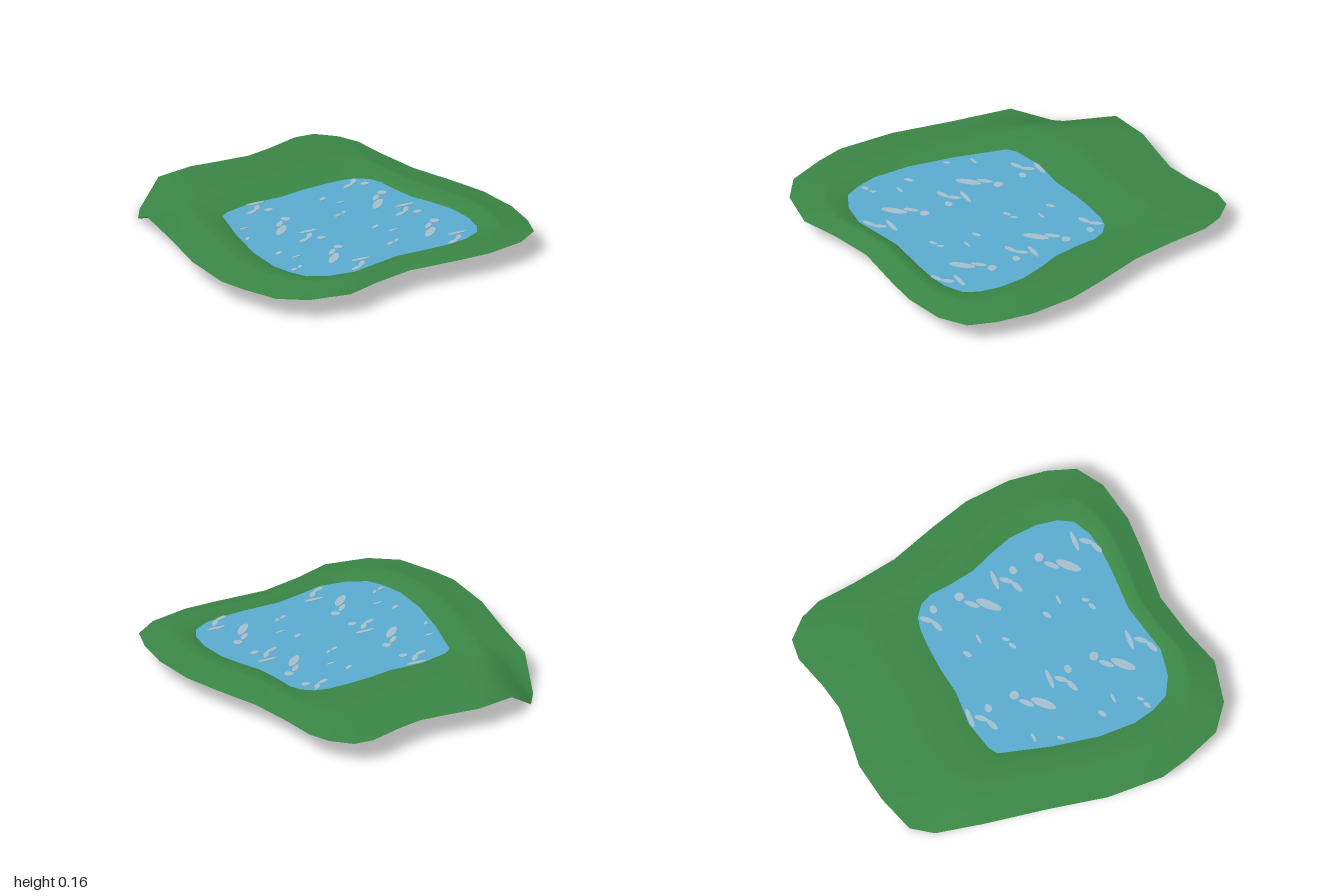
import * as THREE from 'three';

// Shore outlines as [x, z], clockwise from the back right-hand corner
const OUTER = [
  [-0.745, -0.545], [-0.63, -0.79], [-0.54, -0.9], [-0.36, -0.975], [-0.13, -0.995], [0.03, -0.965],
  [0.215, -0.935], [0.37, -0.955], [0.57, -1], [0.685, -0.98], [0.775, -0.87], [0.815, -0.75],
  [0.82, -0.53], [0.84, -0.27], [0.91, 0.01], [0.955, 0.23], [0.955, 0.49], [0.91, 0.7],
  [0.845, 0.85], [0.695, 0.935], [0.46, 0.965], [0.28, 0.95], [-0.03, 0.91], [-0.27, 0.945],
  [-0.49, 1], [-0.725, 0.935], [-0.86, 0.815], [-0.925, 0.6], [-0.955, 0.44], [-0.92, 0.12], [-0.83, -0.2],
];
const INNER = [
  [-0.44, -0.24], [-0.42, -0.295], [-0.37, -0.325], [-0.28, -0.34], [-0.2, -0.355], [0, -0.333],
  [0.15, -0.345], [0.3, -0.345], [0.41, -0.335], [0.48, -0.315], [0.54, -0.26], [0.565, -0.19],
  [0.565, -0.08], [0.58, 0.08], [0.62, 0.2], [0.655, 0.34], [0.655, 0.5], [0.625, 0.62],
  [0.575, 0.695], [0.47, 0.74], [0.35, 0.75], [0.22, 0.745], [0, 0.725], [-0.14, 0.745],
  [-0.3, 0.77], [-0.45, 0.735], [-0.55, 0.67], [-0.59, 0.57], [-0.61, 0.45], [-0.59, 0.24], [-0.52, -0.02],
];
const WATER_Y = 0.13;

// Bank section: [fraction from water to outer edge, height]
const SECTION = [[0, WATER_Y], [0.16, 0.147], [0.36, 0.156], [0.45, 0.154], [0.68, 0.136], [1, 0.12]];

function bankGeometry() {
  const n = OUTER.length, pos = [], index = [];
  SECTION.forEach(([t, h], r) => {
    for (let i = 0; i < n; i++) {
      const [ax, az] = INNER[i], [bx, bz] = OUTER[i];
      let y = h;
      if (r === 4 && bz < -0.7) y += 0.006;            // gentler slope at the back
      if (i === 1 || i === 2) y -= [0, 0, 0, 0, 0.025, 0.12][r]; // sunken corner
      pos.push(ax + (bx - ax) * t, y, az + (bz - az) * t);
      if (r > 0) {
        const j = (i + 1) % n, a = (r - 1) * n, b = r * n;
        index.push(a + i, a + j, b + j, a + i, b + j, b + i);
      }
    }
  });
  const g = new THREE.BufferGeometry();
  g.setAttribute('position', new THREE.Float32BufferAttribute(pos, 3));
  g.setIndex(index);
  g.computeVertexNormals();
  return g;
}

// True when a point lies on the water
function onWater(x, z) {
  let inside = false;
  INNER.forEach(([ax, az], i) => {
    const [bx, bz] = INNER[(i + 1) % INNER.length];
    if ((az > z) !== (bz > z) && x < ax + (bx - ax) * (z - az) / (bz - az)) inside = !inside;
  });
  return inside;
}

export function createModel() {
  const grass = new THREE.MeshStandardMaterial({ color: 0x3a8545, side: THREE.DoubleSide });
  grass.name = 'grass green';
  const blue = new THREE.MeshStandardMaterial({ color: 0x5aabd0, side: THREE.DoubleSide });
  blue.name = 'water blue';
  const pale = new THREE.MeshStandardMaterial({ color: 0xa2bfcb });
  pale.name = 'glint grey';

  const group = new THREE.Group();
  group.name = 'pond';

  const bank = new THREE.Mesh(bankGeometry(), grass);
  bank.name = 'grassBank';
  group.add(bank);

  const shape = new THREE.Shape(INNER.map(([x, z]) => new THREE.Vector2(x, -z)));
  const water = new THREE.Mesh(new THREE.ShapeGeometry(shape).rotateX(-Math.PI / 2), blue);
  water.name = 'water';
  water.position.y = WATER_Y;
  group.add(water);

  // Glints repeat in a grid: [x, z, half length, half width, turn]
  const glints = [
    [-0.28, 0.06, 0.075, 0.024, 0.7], [-0.165, -0.06, 0.026, 0.026, 0], [-0.235, -0.02, 0.045, 0.015, 0.7],
    [-0.17, 0.155, 0.06, 0.013, -0.1], [-0.26, 0.245, 0.04, 0.015, 0.3], [-0.165, 0.27, 0.025, 0.02, 0],
    [-0.2, 0.21, 0.04, 0.015, 0.8], [-0.48, 0.315, 0.028, 0.013, 0.5], [-0.43, 0.41, 0.03, 0.008, 0],
    [-0.55, 0.065, 0.025, 0.012, 0.4], [-0.5, 0.05, 0.022, 0.01, 0.8],
  ];
  const disc = new THREE.CylinderGeometry(1, 1, 0.006, 10);
  const glintGroup = new THREE.Group();
  glintGroup.name = 'waterGlints';
  for (let col = 0; col < 2; col++) {
    for (let row = -1; row < 2; row++) {
      for (const [x, z, a, b, turn] of glints) {
        const cx = x + col * 0.645, cz = z + row * 0.49;
        const dx = a * Math.cos(turn), dz = -a * Math.sin(turn);
        if (!onWater(cx + dx, cz + dz) || !onWater(cx - dx, cz - dz)) continue;
        const glint = new THREE.Mesh(disc, pale);
        glint.name = 'glint';
        glint.scale.set(a, 1, b);
        glint.rotation.y = turn;
        glint.position.set(cx, WATER_Y, cz);
        glintGroup.add(glint);
      }
    }
  }
  group.add(glintGroup);
  return group;
}
